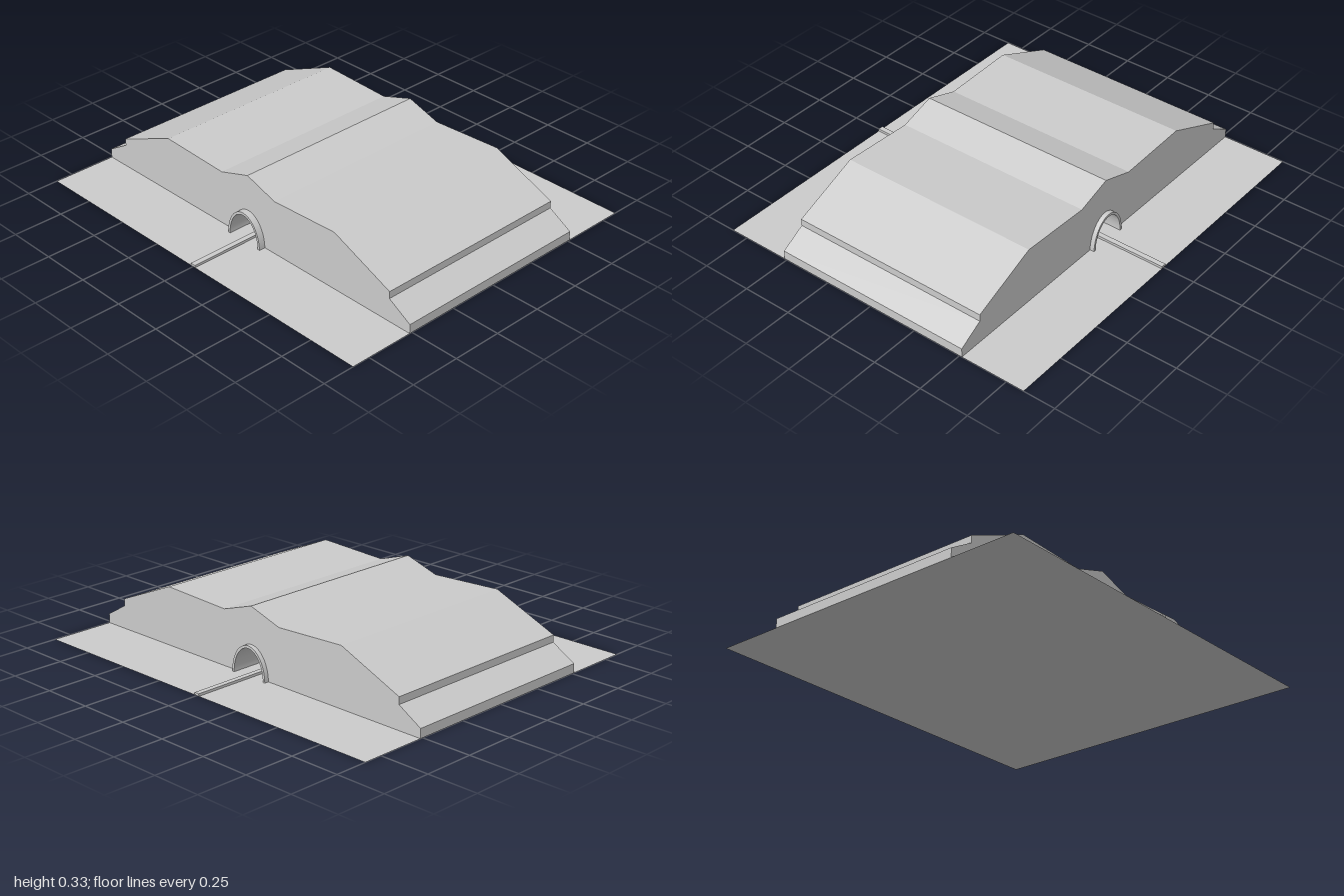
import * as THREE from 'three';
import { toCreasedNormals } from 'three/addons/utils/BufferGeometryUtils.js';

const HALF_DEPTH = 0.84; // ground
const HILL_DEPTH = 0.513; // half length of the hill
const OUTER = [0.105, 0.148]; // arch half width and height
const INNER = [0.093, 0.135];

export function createModel() {
  const model = new THREE.Group();
  const material = new THREE.MeshStandardMaterial({ color: 0xcccccc });
  const thin = new THREE.MeshStandardMaterial({ color: 0xcccccc, side: THREE.DoubleSide });

  const add = (name, geometry, mat = material) => {
    const mesh = new THREE.Mesh(geometry, mat);
    mesh.name = name;
    model.add(mesh);
    return mesh;
  };

  // Extrude a front outline between two z positions, smoothing gentle bends
  const extrude = (shape, back, front) => {
    const geometry = new THREE.ExtrudeGeometry(shape, {
      depth: front - back, bevelEnabled: false, curveSegments: 24,
    });
    geometry.translate(0, 0, back);
    return toCreasedNormals(geometry, 0.3);
  };

  // Ground sheet
  const ground = new THREE.PlaneGeometry(2, HALF_DEPTH * 2);
  ground.rotateX(-Math.PI / 2);
  add('ground', ground, thin);

  // Hill: mirrored stepped outline with an arched passage through it
  const half = [[0.175, 0.272], [0.55, 0.288], [0.88, 0.15], [0.88, 0.115], [1, 0.045], [1, 0]];
  const hill = new THREE.Shape();
  hill.moveTo(-1, 0);
  hill.lineTo(-OUTER[0], 0);
  hill.absellipse(0, 0, ...OUTER, Math.PI, 0, true);
  [...half].reverse().forEach(([x, y]) => hill.lineTo(x, y));
  hill.lineTo(0, 0.328);
  half.forEach(([x, y]) => hill.lineTo(-x, y));
  add('hill', extrude(hill, -HILL_DEPTH, HILL_DEPTH));

  // Tunnel lining, projecting slightly at both portals
  const lining = new THREE.Shape();
  lining.moveTo(OUTER[0], 0);
  lining.absellipse(0, 0, ...OUTER, 0, Math.PI, false);
  lining.lineTo(-INNER[0], 0);
  lining.absellipse(0, 0, ...INNER, Math.PI, 0, true);
  add('tunnelLining', extrude(lining, -0.535, 0.545));

  // Low rail running through the tunnel
  const rail = add('rail', new THREE.BoxGeometry(0.026, 0.012, HALF_DEPTH * 2));
  rail.position.y = 0.006;

  return model;
}
